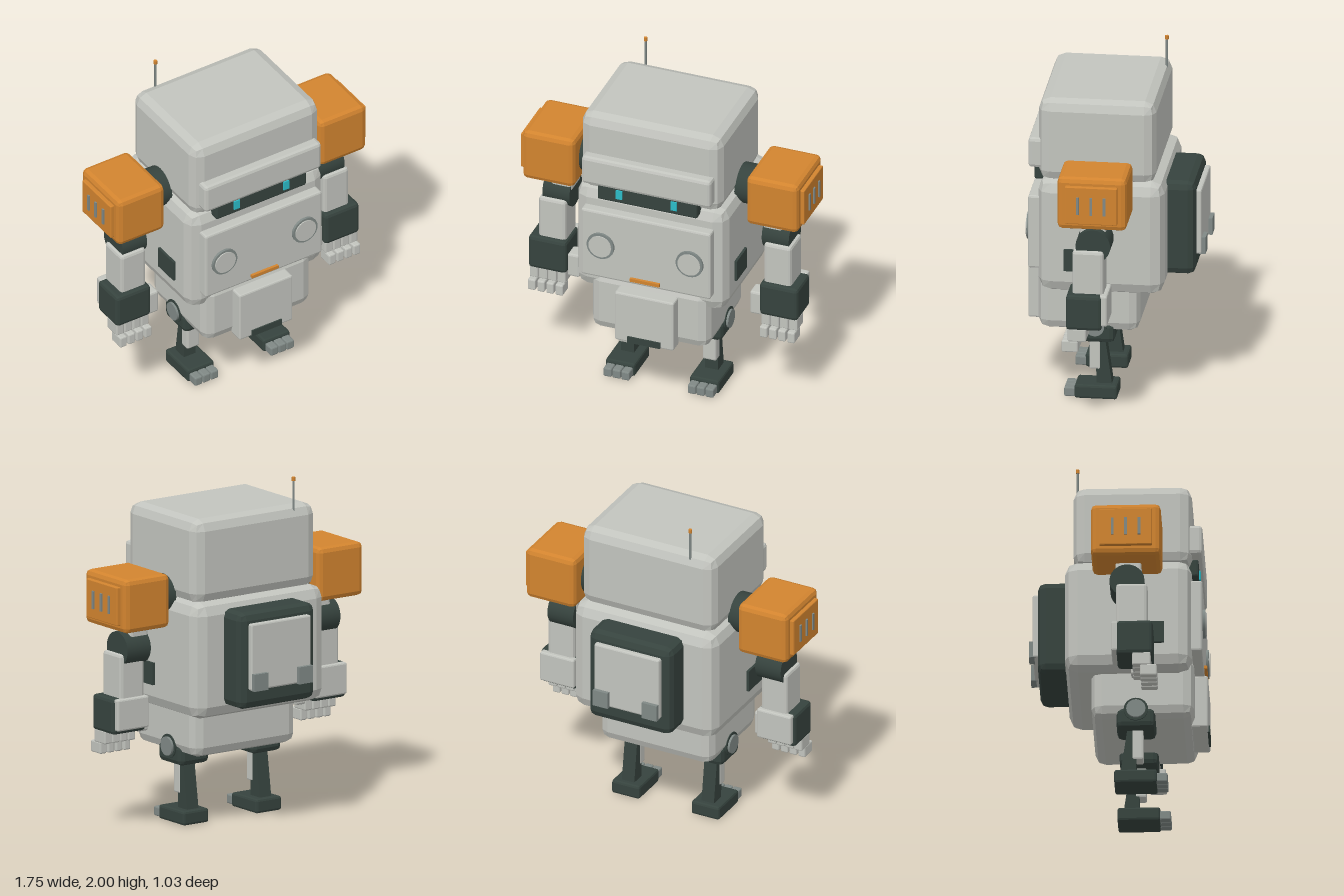
import * as THREE from 'three';
import { RoundedBoxGeometry } from 'three/addons/geometries/RoundedBoxGeometry.js';

const mat = (name, color) => {
  const m = new THREE.MeshStandardMaterial({ color });
  m.name = name;
  return m;
};

export function createModel() {
  const light = mat('lightGrey', 0xc2c4be);
  const dark = mat('darkGreen', 0x36433e);
  const mid = mat('midGrey', 0x808986);
  const orange = mat('orange', 0xd2842f);
  const cyan = mat('cyan', 0x2cbcc8);

  const root = new THREE.Group();
  root.name = 'robot';

  const add = (parent, name, geometry, material) => {
    const mesh = new THREE.Mesh(geometry, material);
    mesh.name = name;
    parent.add(mesh);
    return mesh;
  };
  // bevelled box given by its extents on each axis
  const box = (parent, name, material, [x0, x1], [y0, y1], [z0, z1], bevel = 0) => {
    const s = [x1 - x0, y1 - y0, z1 - z0];
    const g = bevel ? new RoundedBoxGeometry(...s, 1, bevel) : new THREE.BoxGeometry(...s);
    g.computeVertexNormals();
    const mesh = add(parent, name, g, material);
    mesh.position.set((x0 + x1) / 2, (y0 + y1) / 2, (z0 + z1) / 2);
    return mesh;
  };
  // cylinder lying along x or z, or standing along y
  const rod = (parent, name, material, axis, r, length, [x, y, z], sides = 24) => {
    const g = new THREE.CylinderGeometry(r, r, length, sides);
    if (axis === 'x') g.rotateZ(Math.PI / 2);
    if (axis === 'z') g.rotateX(Math.PI / 2);
    const mesh = add(parent, name, g, material);
    mesh.position.set(x, y, z);
    return mesh;
  };
  const group = (name) => {
    const g = new THREE.Group();
    g.name = name;
    root.add(g);
    return g;
  };

  // Head
  const head = group('head');
  box(head, 'headShell', light, [-0.43, 0.43], [1.34, 1.835], [-0.255, 0.42], 0.065);
  box(head, 'brow', light, [-0.395, 0.395], [1.41, 1.59], [0.38, 0.48], 0.02);
  box(head, 'visor', dark, [-0.305, 0.305], [1.31, 1.415], [0.36, 0.455], 0.01);
  for (const x of [-0.17, 0.165]) {
    box(head, 'eye', cyan, [x - 0.019, x + 0.019], [1.34, 1.397], [0.454, 0.463]);
  }
  rod(head, 'antenna', mid, 'y', 0.007, 0.2, [-0.275, 1.89, -0.235], 8);
  rod(head, 'antennaTip', orange, 'y', 0.011, 0.022, [-0.275, 1.989, -0.235], 8);

  // Torso and chest details
  const torso = group('torso');
  box(torso, 'body', light, [-0.46, 0.46], [0.675, 1.36], [-0.305, 0.42], 0.075);
  box(torso, 'chestPlate', light, [-0.395, 0.395], [0.8, 1.24], [0.38, 0.48], 0.012);
  for (const s of [-1, 1]) {
    rod(torso, 'dialRim', mid, 'z', 0.083, 0.03, [0.272 * s, 1.02, 0.48]);
    rod(torso, 'dialFace', light, 'z', 0.069, 0.03, [0.272 * s, 1.02, 0.486]);
    const x = 0.465 * s;
    box(torso, 'sideVent', dark, [x - 0.01, x + 0.01], [0.82, 0.95], [0.1, 0.265]);
  }
  box(torso, 'chestStripe', orange, [-0.09, 0.09], [0.825, 0.845], [0.475, 0.497]);

  // Pelvis
  box(torso, 'pelvis', light, [-0.362, 0.362], [0.415, 0.8], [-0.155, 0.43], 0.06);
  box(torso, 'frontFlap', light, [-0.18, 0.18], [0.42, 0.74], [0.41, 0.505], 0.01);
  box(torso, 'flapStripe', dark, [-0.1, 0.1], [0.422, 0.462], [0.5, 0.513]);

  // Backpack
  const pack = group('backpack');
  box(pack, 'packShell', dark, [-0.268, 0.268], [0.745, 1.31], [-0.465, -0.25], 0.045);
  box(pack, 'packPlate', light, [-0.21, 0.21], [0.86, 1.25], [-0.495, -0.44], 0.01);
  for (const s of [-1, 1]) {
    const x = 0.158 * s;
    box(pack, 'packTab', mid, [x - 0.048, x + 0.048], [0.86, 0.96], [-0.517, -0.48]);
  }

  for (const s of [-1, 1]) {
    const side = s > 0 ? 'left' : 'right';
    const sx = (a, b) => (s > 0 ? [a, b] : [-b, -a]);

    // Shoulder
    const arm = group(side + 'Arm');
    rod(arm, 'shoulderJoint', dark, 'x', 0.118, 0.14, [0.495 * s, 1.36, 0.058]);
    box(arm, 'shoulderPad', orange, sx(0.525, 0.842), [1.21, 1.525], [-0.14, 0.258], 0.03);
    box(arm, 'padPanel', orange, sx(0.82, 0.866), [1.255, 1.48], [-0.09, 0.21], 0.005);
    for (const z of [-0.016, 0.06, 0.137]) {
      box(arm, 'padSlit', mid, sx(0.86, 0.875), [1.315, 1.42], [z - 0.008, z + 0.008]);
    }

    // Upper arm, elbow and forearm
    const upper = box(arm, 'upperArm', light, sx(0.578, 0.705), [1.11, 1.3], [-0.005, 0.143], 0.015);
    upper.rotation.z = 0.06 * s;
    rod(arm, 'elbow', dark, 'x', 0.1, 0.165, [0.67 * s, 1.08, 0.063]);
    box(arm, 'forearm', light, sx(0.605, 0.772), [0.78, 1.055], [0, 0.18], 0.018);

    // Hand
    box(arm, 'cuff', dark, sx(0.59, 0.823), [0.59, 0.8], [0.005, 0.212], 0.02);
    box(arm, 'handGuard', light, sx(0.59, 0.81), [0.615, 0.8], [-0.025, 0.02], 0.01);
    box(arm, 'thumb', light, sx(0.52, 0.595), [0.565, 0.712], [0.08, 0.18], 0.012);
    for (let i = 0; i < 4; i++) {
      const x = 0.624 + i * 0.056;
      box(arm, 'fingerBase', light, sx(x - 0.026, x + 0.026), [0.52, 0.6], [0.095, 0.2], 0.008);
      box(arm, 'fingerTip', light, sx(x - 0.023, x + 0.023), [0.455, 0.525], [0.14, 0.235], 0.008);
    }

    // Hip
    const leg = group(side + 'Leg');
    box(leg, 'hipBlock', dark, sx(0.15, 0.36), [0.345, 0.47], [-0.012, 0.21], 0.03);
    rod(leg, 'hipJoint', dark, 'x', 0.07, 0.12, [0.307 * s, 0.45, 0.1]);
    rod(leg, 'hipCap', mid, 'x', 0.055, 0.06, [0.35 * s, 0.45, 0.1]);

    // Tapered leg strut leaning forward towards the hip
    const strut = new THREE.BoxGeometry(0.08, 0.3, 0.09);
    const p = strut.attributes.position;
    for (let i = 0; i < p.count; i++) {
      if (p.getY(i) > 0) p.setZ(i, p.getZ(i) * 0.6 + 0.025);
    }
    strut.computeVertexNormals();
    add(leg, 'legStrut', strut, dark).position.set(0.257 * s, 0.22, 0.053);
    box(leg, 'shinGuard', light, sx(0.215, 0.3), [0.165, 0.37], [0.075, 0.14], 0.01);

    // Foot
    box(leg, 'foot', dark, sx(0.167, 0.347), [0, 0.083], [-0.025, 0.22], 0.014);
    for (const i of [-1, 0, 1]) {
      const x = 0.257 + i * 0.054;
      box(leg, 'toe', mid, sx(x - 0.025, x + 0.025), [0.006, 0.062], [0.19, 0.28], 0.008);
    }
  }
  return root;
}
